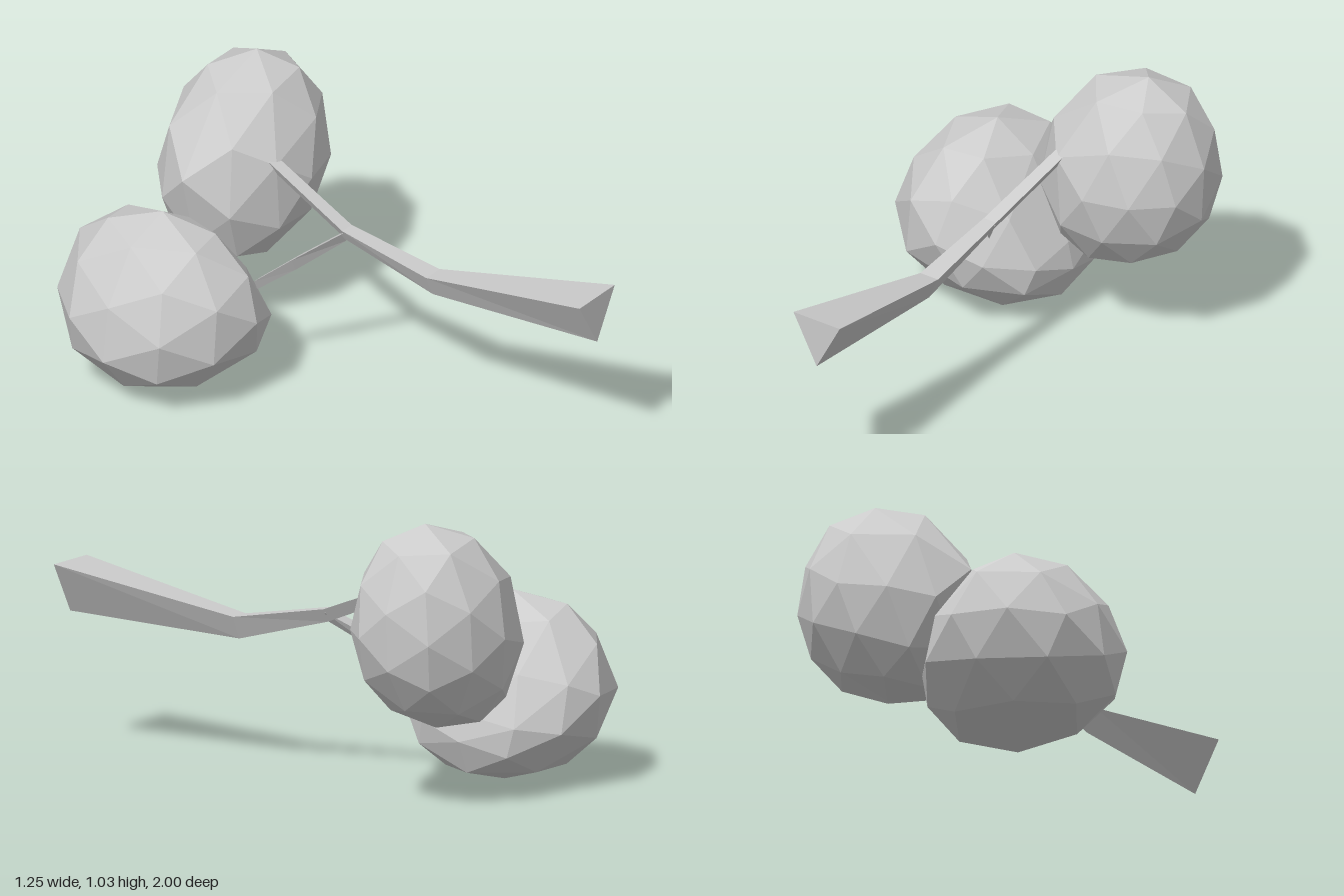
import * as THREE from 'three';

const material = () => new THREE.MeshStandardMaterial({ color: 0xcccccc, flatShading: true });

// Faceted leaf ball: a subdivided icosahedron with its poles on z,
// its ten-sided equator bent to follow an outline (18, 54, 90 ... degrees).
function leafBall(name, [cx, cy, cz], depth, outline) {
  const geo = new THREE.IcosahedronGeometry(1, 1);
  geo.rotateX(Math.atan(2 / (1 + Math.sqrt(5))));
  geo.rotateZ(Math.PI / 10);
  const step = Math.PI / 5;
  const pos = geo.attributes.position;
  for (let i = 0; i < pos.count; i++) {
    const x = pos.getX(i), y = pos.getY(i), r = Math.hypot(x, y);
    const t = ((Math.atan2(y, x) - step / 2 + Math.PI * 4) / step) % 10;
    const k = Math.floor(t), f = t - k;
    const a = outline[k % 10], b = outline[(k + 1) % 10];
    const wa = Math.sin((1 - f) * step) / Math.sin(step) * r;
    const wb = Math.sin(f * step) / Math.sin(step) * r;
    pos.setXYZ(i,
      cx + (a[0] - cx) * wa + (b[0] - cx) * wb,
      cy + (a[1] - cy) * wa + (b[1] - cy) * wb,
      cz + depth * pos.getZ(i));
  }
  geo.computeVertexNormals();
  const mesh = new THREE.Mesh(geo, material());
  mesh.name = name;
  return mesh;
}

// Three-sided limb through sections [z, centre x, half width, top y, bottom y], running to -z
function limb(name, sections) {
  const rings = sections.map(([z, x, h, top, bottom]) =>
    [[x - h, top, z], [x, bottom, z], [x + h, top, z]]);
  const points = [];
  for (let i = 0; i < rings.length - 1; i++) {
    for (let k = 0; k < 3; k++) {
      const n = (k + 1) % 3;
      const a = rings[i][k], b = rings[i][n], c = rings[i + 1][n], d = rings[i + 1][k];
      points.push(a, d, b, b, d, c);
    }
  }
  const end = rings[rings.length - 1];
  points.push(...rings[0], end[0], end[2], end[1]);
  const geo = new THREE.BufferGeometry();
  geo.setAttribute('position', new THREE.Float32BufferAttribute(points.flat(), 3));
  geo.computeVertexNormals();
  const mesh = new THREE.Mesh(geo, material());
  mesh.name = name;
  return mesh;
}

export function createModel() {
  const tree = new THREE.Group();
  tree.name = 'tree';

  // Trunk, lying along z with its wide foot at the front
  tree.add(limb('trunk', [
    [1, 0.17, 0.105, 0.68, 0.495],
    [0.3, 0.13, 0.04, 0.55, 0.465],
    [-0.07, 0.115, 0.028, 0.615, 0.565],
    [-0.43, 0.155, 0.025, 0.755, 0.71],
  ]));

  // Side branch
  tree.add(limb('branch', [
    [-0.07, 0.11, 0.03, 0.605, 0.565],
    [-0.21, -0.005, 0.025, 0.5, 0.45],
    [-0.32, -0.085, 0.018, 0.41, 0.37],
  ]));

  // Two leaf balls
  tree.add(leafBall('lowerFoliage', [-0.24, 0.34, -0.603], 0.397, [
    [0.05, 0.28], [-0.11, 0.58], [-0.27, 0.68], [-0.46, 0.62], [-0.595, 0.43],
    [-0.625, 0.22], [-0.5, 0.065], [-0.22, 0], [0.02, 0.06], [0.073, 0.18],
  ]));
  tree.add(leafBall('upperFoliage', [0.3, 0.63, -0.66], 0.296, [
    [0.622, 0.74], [0.54, 0.94], [0.37, 1.03], [0.13, 0.96], [-0.075, 0.69],
    [0, 0.4], [0.12, 0.28], [0.3, 0.277], [0.5, 0.37], [0.61, 0.53],
  ]));

  return tree;
}
